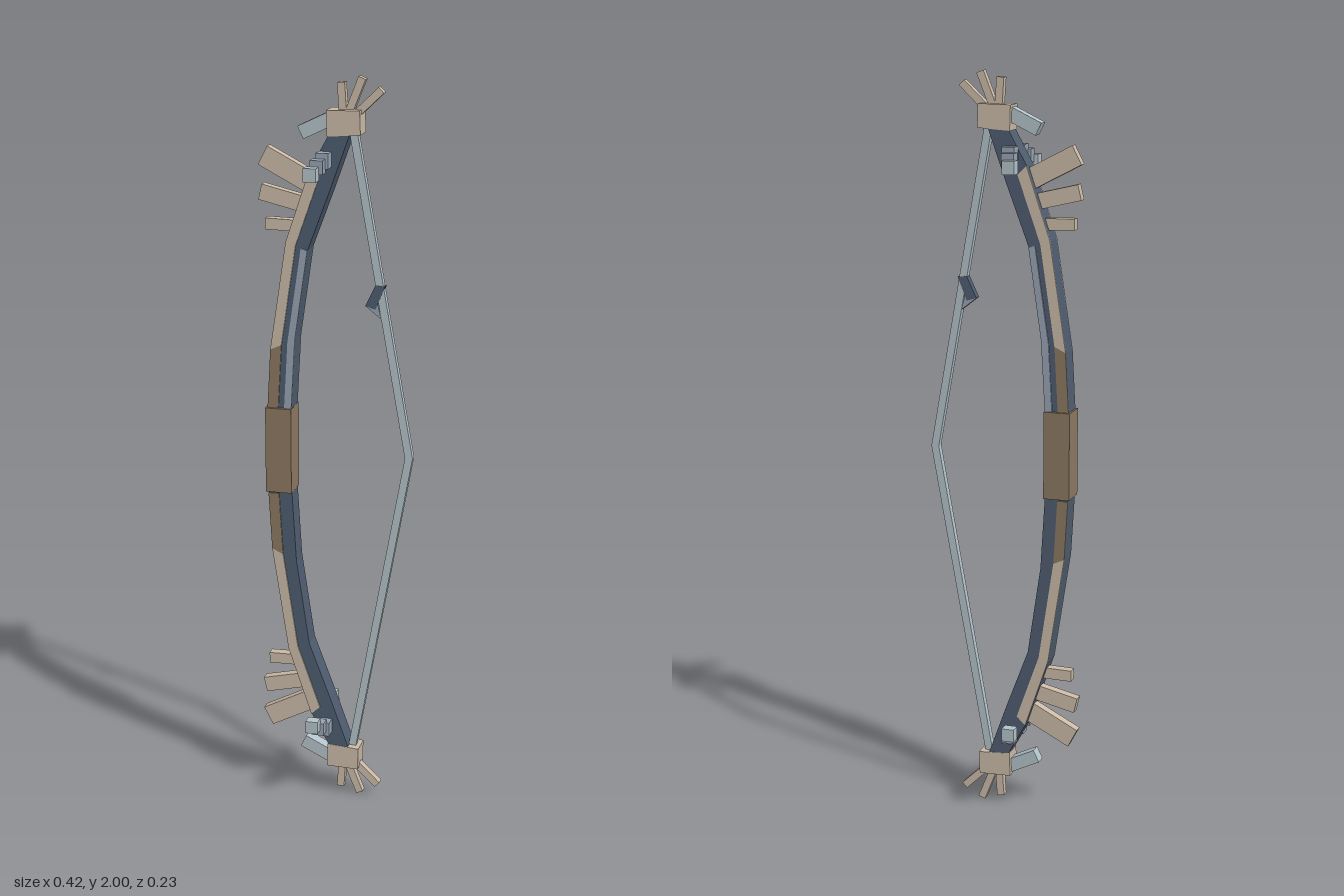
import * as THREE from 'three';

const mat = (name, color) => Object.assign(new THREE.MeshStandardMaterial({ color }), { name });

export function createModel() {
  const bone = mat('bone', 0xcbbba7);
  const leather = mat('leather', 0x8d7962);
  const darkSteel = mat('darkSteel', 0x4f5d70);
  const steel = mat('steel', 0x98a4b4);
  const paleSteel = mat('paleSteel', 0xb5c4cb);

  const model = new THREE.Group();
  model.name = 'bow';

  // Flat outline in x/y, extruded to a depth centred on z
  const slab = (parent, name, pts, depth, material, z = 0) => {
    const shape = new THREE.Shape(pts.map(([x, y]) => new THREE.Vector2(x, y)));
    const geo = new THREE.ExtrudeGeometry(shape, { depth, bevelEnabled: false });
    geo.translate(0, 0, z - depth / 2);
    const mesh = new THREE.Mesh(geo, material);
    mesh.name = name;
    parent.add(mesh);
    return mesh;
  };

  // Straight bar between two points with a given width
  const bar = (parent, name, [x0, y0], [x1, y1], width, depth, material) => {
    const l = Math.hypot(x1 - x0, y1 - y0);
    const nx = -(y1 - y0) / l * width / 2, ny = (x1 - x0) / l * width / 2;
    return slab(parent, name, [[x0 + nx, y0 + ny], [x1 + nx, y1 + ny],
      [x1 - nx, y1 - ny], [x0 - nx, y0 - ny]], depth, material);
  };

  // Grip
  slab(model, 'grip', [[-0.188, 0.885], [-0.117, 0.885], [-0.117, 1.12], [-0.188, 1.12]], 0.078, leather);

  // Limb profile, from the grip out to the tip
  const outer = [[-0.184, 1], [-0.183, 1.12], [-0.174, 1.28], [-0.13, 1.57], [-0.066, 1.76], [0, 1.88]];
  const inner = [[-0.12, 1], [-0.118, 1.12], [-0.107, 1.31], [-0.072, 1.55], [-0.012, 1.71], [0.038, 1.85]];
  const mix = (a, b, t) => [a[0] + (b[0] - a[0]) * t, a[1] + (b[1] - a[1]) * t];

  for (const side of [1, -1]) {
    const half = new THREE.Group();
    half.name = side > 0 ? 'upperLimb' : 'lowerLimb';
    model.add(half);
    const m = ([x, y]) => [x, 1 + side * (y - 1)];
    const add = (name, pts, depth, material, z) => slab(half, name, pts.map(m), depth, material, z);
    const addBar = (name, a, b, w, d, material) => bar(half, name, m(a), m(b), w, d, material);

    add('limbCore', [...outer, ...[...inner].reverse()], 0.058, darkSteel);

    // Thin inlays on both faces of the limb
    for (const face of [1, -1]) {
      const z = face * 0.030;
      for (let i = 1; i < 4; i++) {
        add('outerInlay', [outer[i], outer[i + 1], mix(outer[i + 1], inner[i + 1], 0.45),
          mix(outer[i], inner[i], 0.45)], 0.005, i === 1 ? leather : bone, z);
      }
      if (side > 0) {
        for (let i = 1; i < 3; i++) {
          add('innerInlay', [mix(outer[i], inner[i], 0.7), mix(outer[i + 1], inner[i + 1], 0.7),
            inner[i + 1], inner[i]], 0.005, steel, z);
        }
      }
      // Stepped side hook
      add('hookBase', [[-0.042, 1.77], [-0.008, 1.77], [-0.008, 1.81], [-0.042, 1.81]], 0.034, steel, face * 0.043);
      add('hookMiddle', [[-0.05, 1.76], [-0.016, 1.76], [-0.016, 1.796], [-0.05, 1.796]], 0.032, steel, face * 0.072);
      add('hookEnd', [[-0.06, 1.745], [-0.026, 1.745], [-0.026, 1.78], [-0.06, 1.78]], 0.03, paleSteel, face * 0.1);
    }

    // Fins fanning from the back of the limb
    addBar('finLarge', [-0.195, 1.79], [-0.07, 1.725], 0.055, 0.027, bone);
    addBar('finMiddle', [-0.203, 1.695], [-0.085, 1.667], 0.042, 0.027, bone);
    addBar('finSmall', [-0.19, 1.612], [-0.105, 1.61], 0.03, 0.027, bone);

    // Tip block with spikes and a short blade
    add('tipBlock', [[-0.02, 1.848], [0.068, 1.854], [0.066, 1.916], [-0.022, 1.914]], 0.06, bone);
    addBar('tipSpike', [0.018, 1.89], [0.012, 1.983], 0.02, 0.021, bone);
    addBar('tipSpike', [0.025, 1.89], [0.067, 1.996], 0.02, 0.021, bone);
    addBar('tipSpike', [0.04, 1.893], [0.117, 1.967], 0.02, 0.021, bone);
    addBar('tipBlade', [-0.093, 1.853], [0, 1.898], 0.036, 0.034, paleSteel);

    // Drawn string
    add('string', [[0.034, 1.86], [0.055, 1.86], [0.208, 1], [0.187, 1]], 0.02, paleSteel);
  }

  // Small nocking tab on the string
  slab(model, 'nockTab', [[0.105, 1.465], [0.13, 1.462], [0.105, 1.4], [0.078, 1.408]], 0.022, darkSteel);
  slab(model, 'nockTabEnd', [[0.078, 1.408], [0.108, 1.425], [0.12, 1.375]], 0.02, steel);

  return model;
}
